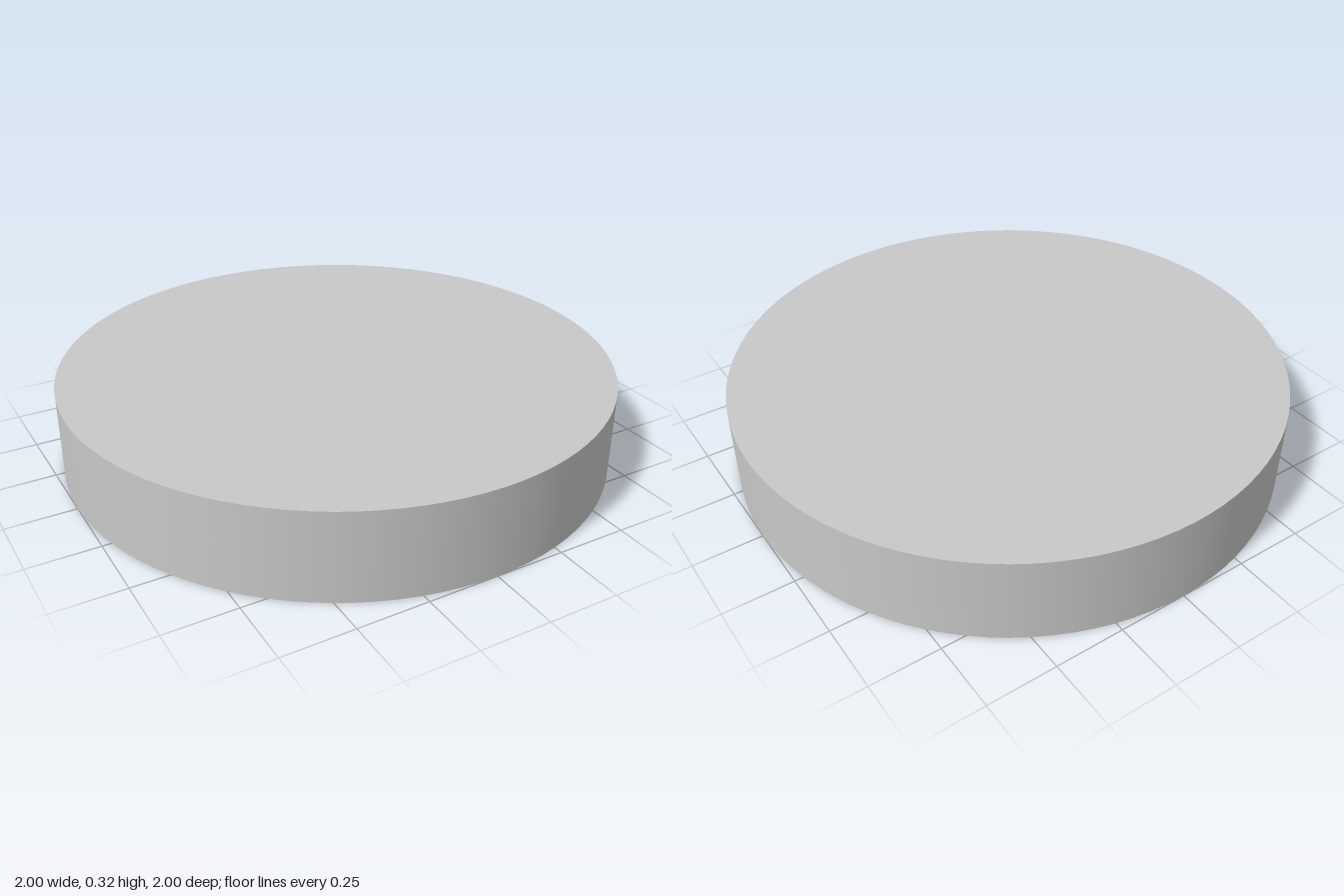
import * as THREE from 'three';
import { mergeGeometries } from 'three/addons/utils/BufferGeometryUtils.js';

// Revolves each straight profile run separately so the edges between runs stay sharp
function turned(name, points, material) {
  const runs = [];
  for (let i = 0; i < points.length - 1; i++) {
    const pair = [points[i], points[i + 1]].map(([r, y]) => new THREE.Vector2(r, y));
    runs.push(new THREE.LatheGeometry(pair, 96));
  }
  const mesh = new THREE.Mesh(mergeGeometries(runs), material);
  mesh.name = name;
  return mesh;
}

export function createModel() {
  const grey = new THREE.MeshStandardMaterial({ color: 0xc8c8c8 });
  grey.name = 'light grey';

  const height = 0.32, ceiling = 0.245, bossBottom = 0.213;
  const openingRadius = 0.84, grooveRadius = 0.855, grooveBottom = 0.19, bossRadius = 0.214;

  const group = new THREE.Group();
  group.name = 'roundCap';

  // Cap shell: recess ceiling, undercut groove, inner wall, rim, outer wall, top
  group.add(turned('capShell', [
    [bossRadius, ceiling],
    [grooveRadius, ceiling],
    [grooveRadius, grooveBottom],
    [openingRadius, grooveBottom],
    [openingRadius, 0],
    [1, 0],
    [1, height],
    [0, height],
  ], grey));

  // Low round boss hanging from the middle of the ceiling
  group.add(turned('centreBoss', [
    [0, bossBottom],
    [bossRadius, bossBottom],
    [bossRadius, ceiling],
  ], grey));

  return group;
}
